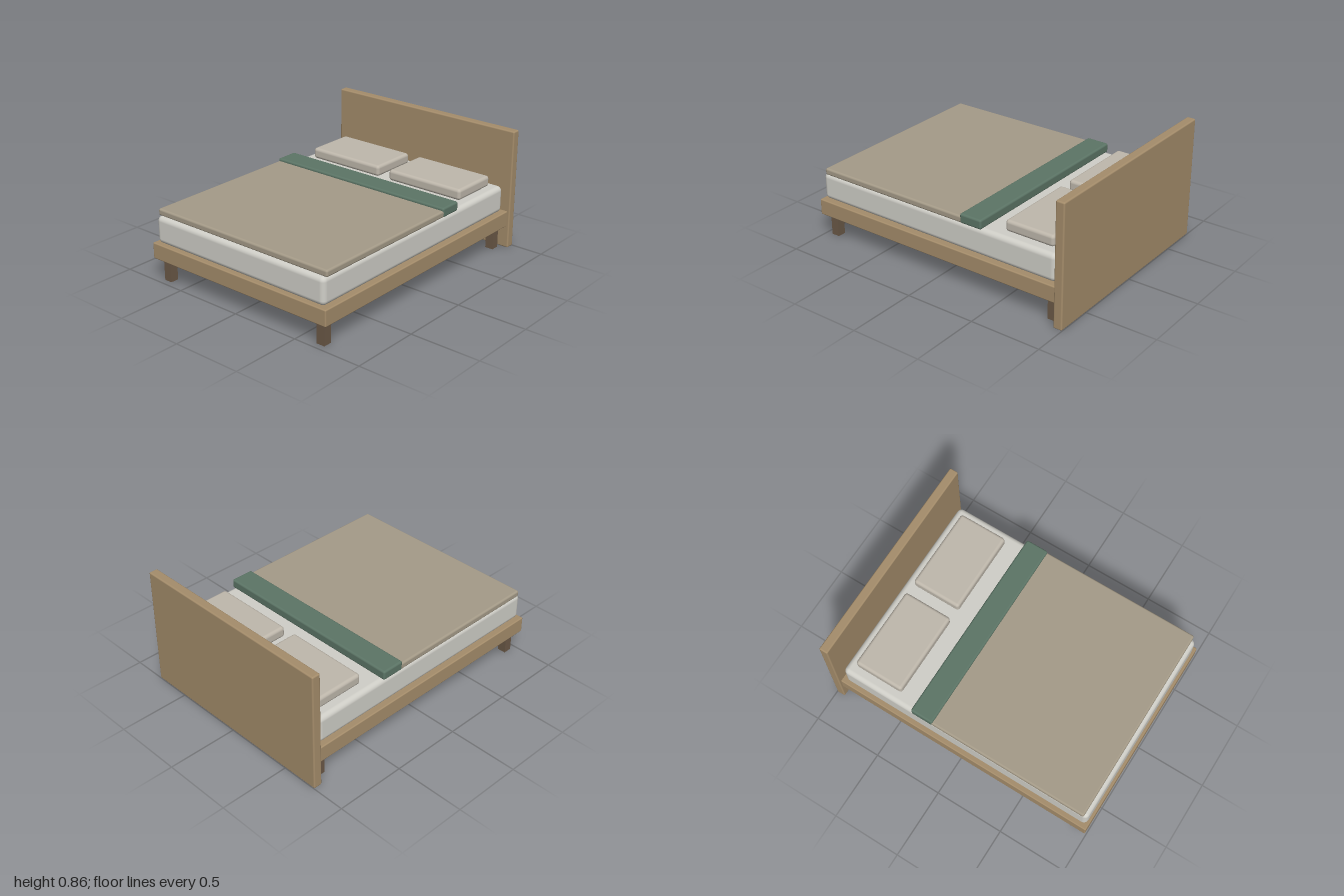
import * as THREE from 'three';
import { RoundedBoxGeometry } from 'three/addons/geometries/RoundedBoxGeometry.js';

const paint = (color) => new THREE.MeshStandardMaterial({ color });

export function createModel() {
  const bed = new THREE.Group();
  bed.name = 'bed';

  const wood = paint(0xa58d6b);
  const darkWood = paint(0x6b5947);
  const sheet = paint(0xd0cfc8);
  const linen = paint(0xbfb8ac);
  const cover = paint(0xa59b88);
  const green = paint(0x5c7566);

  // Rounded block given by its limits on each axis
  function block(name, material, [x0, x1], [y0, y1], [z0, z1], radius) {
    const geometry = new RoundedBoxGeometry(x1 - x0, y1 - y0, z1 - z0, 3, radius);
    const mesh = new THREE.Mesh(geometry, material);
    mesh.name = name;
    mesh.position.set((x0 + x1) / 2, (y0 + y1) / 2, (z0 + z1) / 2);
    bed.add(mesh);
  }

  // Wooden frame
  block('headboard', wood, [-0.765, 0.765], [0, 0.86], [-1, -0.937], 0.01);
  block('bedBase', wood, [-0.746, 0.746], [0.16, 0.274], [-0.945, 1], 0.008);

  // Bedding
  block('mattress', sheet, [-0.718, 0.718], [0.274, 0.466], [-0.913, 0.983], 0.035);
  block('blanket', cover, [-0.722, 0.722], [0.46, 0.508], [-0.34, 0.957], 0.014);
  block('foldedThrow', green, [-0.724, 0.724], [0.46, 0.527], [-0.361, -0.195], 0.014);

  for (const side of [-1, 1]) {
    const label = side > 0 ? 'left' : 'right';

    // Pillows
    const pillowX = [side * 0.345 - 0.3, side * 0.345 + 0.3];
    block(label + 'Pillow', linen, pillowX, [0.464, 0.543], [-0.848, -0.488], 0.022);

    // Square legs
    for (const [end, z] of [['Front', 0.925], ['Back', -0.88]]) {
      const leg = new THREE.Mesh(new THREE.BoxGeometry(0.06, 0.165, 0.06), darkWood);
      leg.name = label + end + 'Leg';
      leg.position.set(side * 0.667, 0.0825, z);
      bed.add(leg);
    }
  }

  return bed;
}
